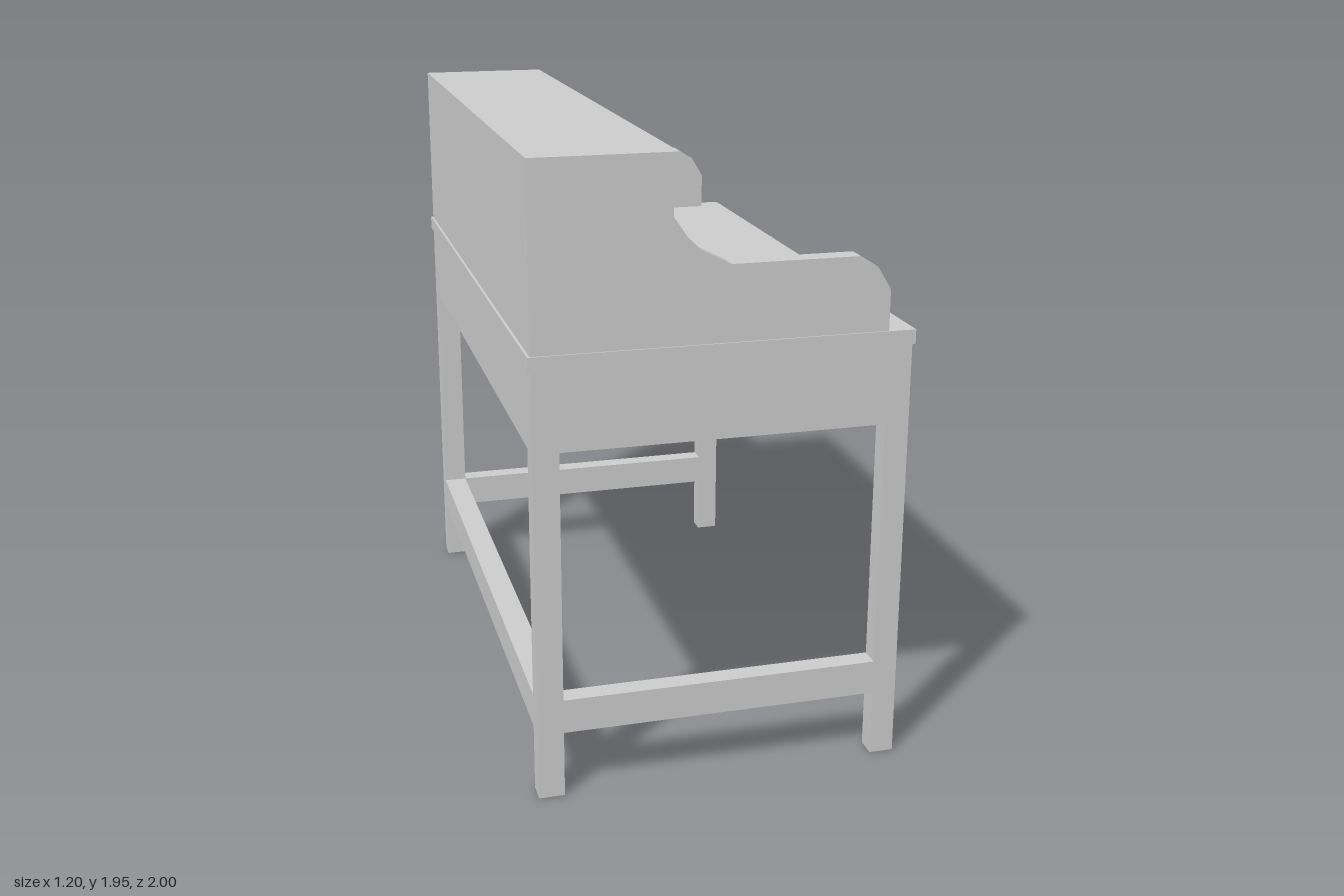
import * as THREE from 'three';

export function createModel() {
  const desk = new THREE.Group();
  desk.name = 'writingDesk';
  const mat = new THREE.MeshStandardMaterial({ color: 0xcccccc, flatShading: true });
  const smooth = new THREE.MeshStandardMaterial({ color: 0xcccccc });

  const add = (name, geo, material = mat) => {
    const mesh = new THREE.Mesh(geo, material);
    mesh.name = name;
    desk.add(mesh);
    return mesh;
  };
  // Box given by its extents on each axis
  const box = (name, [x0, x1], [y0, y1], [z0, z1]) =>
    add(name, new THREE.BoxGeometry(x1 - x0, y1 - y0, z1 - z0))
      .position.set((x0 + x1) / 2, (y0 + y1) / 2, (z0 + z1) / 2);

  const back = -0.595, front = 0.553, side = 0.995, inner = 0.93;
  const legBack = -0.515, legFront = 0.477;
  const span = [-inner, inner];

  // Table: worktop, apron box
  box('worktop', [-0.603, 0.561], [1.35, 1.395], [-1, 1]);
  box('apron', [back, front], [1.105, 1.35], [-side, side]);

  // Side profile of the gallery: concave sweep, then a rounded front corner
  const profile = new THREE.Shape([
    [back, 1.395], [0.477, 1.395], [0.477, 1.52], [0.435, 1.59], [0.38, 1.625],
    [-0.01, 1.625], [-0.1, 1.67], [-0.14, 1.71], [-0.18, 1.768], [-0.18, 1.91], [back, 1.91],
  ].map(([x, y]) => new THREE.Vector2(x, y)));

  for (const s of [-1, 1]) {
    const zs = s > 0 ? [inner, side] : [-side, -inner];
    const end = s > 0 ? 'left' : 'right';

    // Legs and side stretcher
    box('backLeg', [back, legBack], [0, 1.105], zs);
    box('frontLeg', [legFront, front], [0, 1.105], zs);
    box('sideStretcher', [legBack, legFront], [0.212, 0.32], zs);

    // Gallery side panel
    const panel = new THREE.ExtrudeGeometry(profile, { depth: side - inner, bevelEnabled: false });
    add(end + 'GallerySide', panel).position.z = zs[0];

    // Turned drawer knob, axis along x
    const knob = new THREE.LatheGeometry([
      [0.013, 0], [0.013, 0.022], [0.022, 0.024], [0.03, 0.032], [0.03, 0.041], [0.026, 0.047], [0, 0.047],
    ].map(([r, h]) => new THREE.Vector2(r, h)), 20);
    const mesh = add('drawerKnob', knob, smooth);
    mesh.rotation.z = -Math.PI / 2;
    mesh.position.set(front, 1.242, s * 0.485);
  }
  box('backStretcher', [back, legBack], [0.212, 0.32], span);

  // Gallery: back, top, shelf and divider
  box('galleryBack', [back, -0.555], [1.395, 1.91], span);
  box('galleryTop', [back, -0.165], [1.91, 1.95], [-side, side]);
  box('galleryShelf', [-0.555, -0.19], [1.632, 1.675], span);
  for (const y of [[1.395, 1.632], [1.675, 1.91]]) box('galleryDivider', [-0.555, -0.19], y, [-0.022, 0.022]);

  return desk;
}
